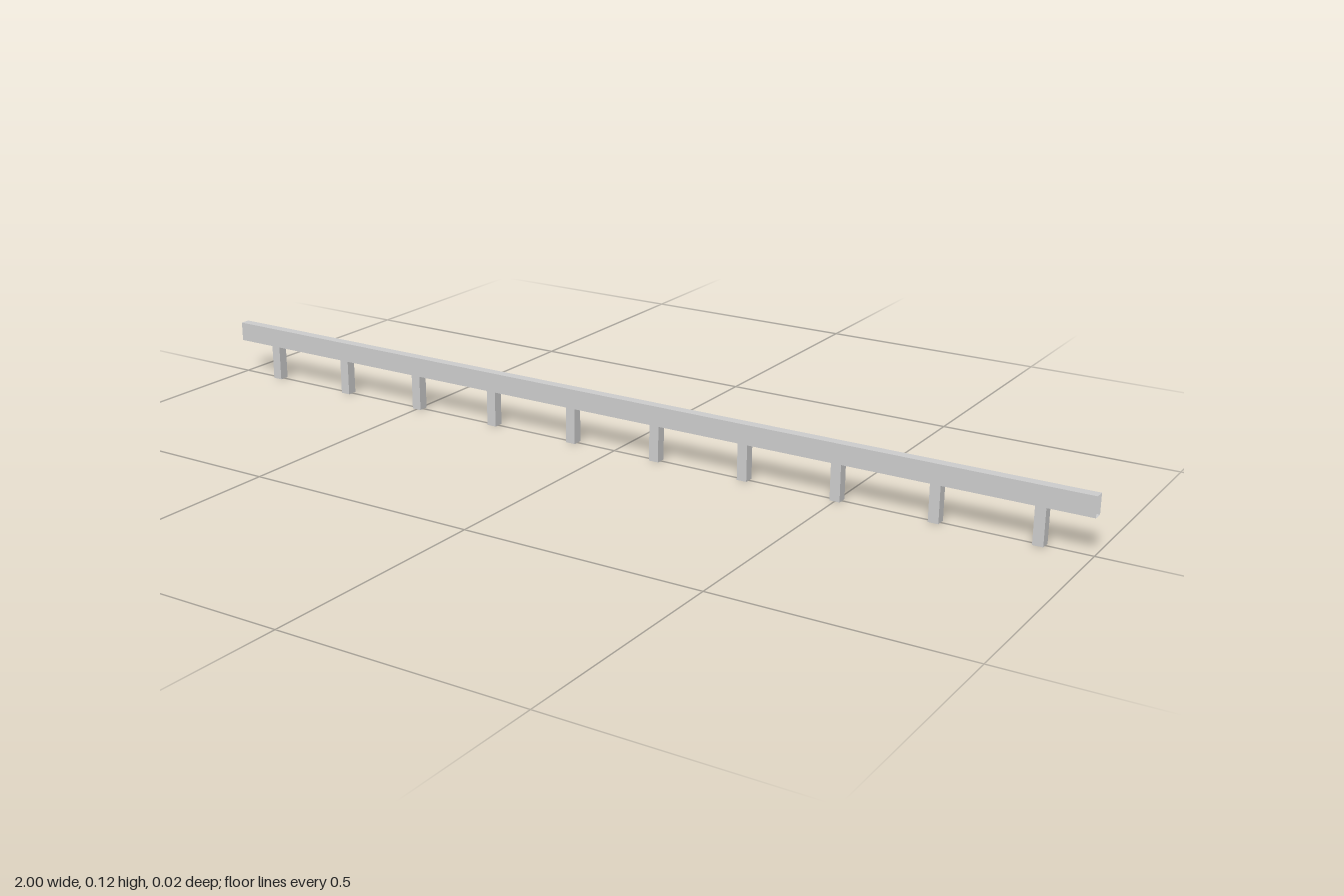
import * as THREE from 'three';

const POSTS = 10, SPACING = 0.2;
const POST_HEIGHT = 0.075, TOP = 0.116, WIDTH = 0.021;

export function createModel() {
  const model = new THREE.Group();
  model.name = 'guardRail';
  const material = new THREE.MeshStandardMaterial({ color: 0xcccccc, side: THREE.DoubleSide });

  // Long hollow rail, open at both ends: drop the two x faces of a box
  const railGeometry = new THREE.BoxGeometry(2, TOP - POST_HEIGHT, WIDTH);
  railGeometry.setIndex(Array.from(railGeometry.index.array).slice(12));
  railGeometry.clearGroups();
  const rail = new THREE.Mesh(railGeometry, material);
  rail.name = 'rail';
  rail.position.y = (TOP + POST_HEIGHT) / 2;
  model.add(rail);

  // Evenly spaced square posts
  const postGeometry = new THREE.BoxGeometry(WIDTH, POST_HEIGHT, WIDTH);
  for (let i = 0; i < POSTS; i++) {
    const post = new THREE.Mesh(postGeometry, material);
    post.name = `post${i + 1}`;
    post.position.set((i - (POSTS - 1) / 2) * SPACING, POST_HEIGHT / 2, 0);
    model.add(post);
  }
  return model;
}
